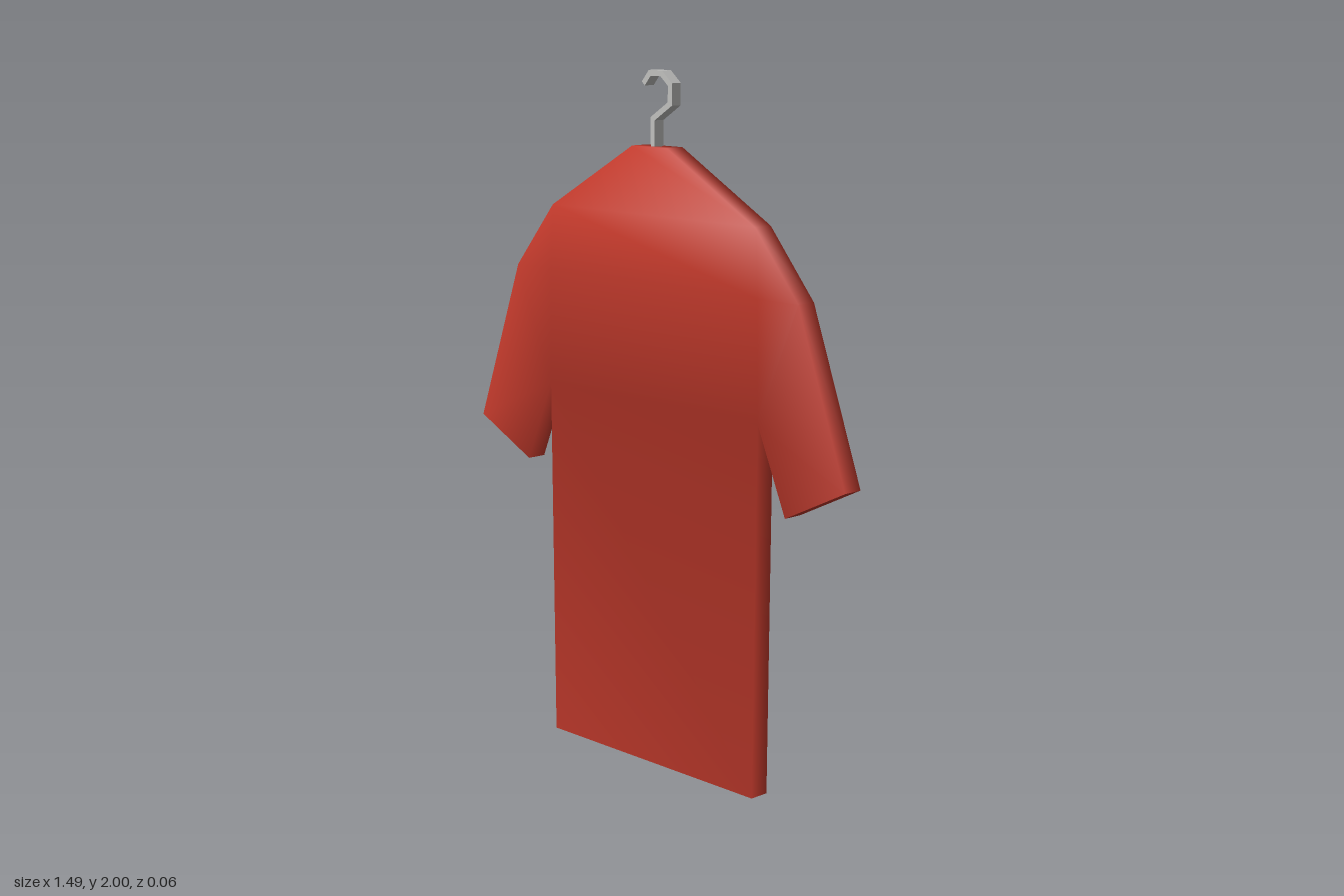
import * as THREE from 'three';

const HALF_DEPTH = 0.03;

// Right half of the shirt pattern, neck to hem; the last point lies inside the cloth
const HALF = [
  [0.07, 1.79], [0.41, 1.6], [0.57, 1.41], [0.745, 0.93],
  [0.53, 0.825], [0.425, 1.07], [0.415, 0], [0.42, 1.41],
];
const N = HALF.length;
const OUTLINE = [0, 1, 2, 3, 4, 5, 6, 14, 13, 12, 11, 10, 9, 8];
const SLEEVE_TRIS = [[1, 7, 2], [7, 5, 2], [5, 4, 3], [5, 3, 2]];
const TORSO_QUADS = [[8, 9, 1, 0], [9, 15, 7, 1], [15, 13, 5, 7], [13, 14, 6, 5]];
const HEMS = ['3-4', '6-14', '12-11']; // sleeve openings and bottom edge

function createShirtGeometry() {
  const pts = [...HALF, ...HALF.map(([x, y]) => [-x, y])].map(([x, y]) => new THREE.Vector2(x, y));
  const out = pts.map(() => new THREE.Vector2());
  const edges = OUTLINE.map((a, i) => {
    const b = OUTLINE[(i + 1) % OUTLINE.length];
    const d = pts[b].clone().sub(pts[a]).normalize();
    const n = new THREE.Vector2(-d.y, d.x);
    const hem = HEMS.includes(`${a}-${b}`);
    if (!hem) { out[a].add(n); out[b].add(n); }
    return { a, b, n, hem };
  });

  const position = [], normal = [], index = [];
  const addVertex = (p, z, n) => {
    position.push(p.x, p.y, z);
    normal.push(n.x, n.y, n.z);
    return position.length / 3 - 1;
  };
  // Front points, then back points, with normals rounded over the rim
  for (const side of [1, -1]) {
    pts.forEach((p, i) => {
      const o = out[i].clone();
      if (o.length() > 1) o.normalize();
      addVertex(p, side * HALF_DEPTH, new THREE.Vector3(o.x * 0.8, o.y * 0.8, side).normalize());
    });
  }
  const back = pts.length;

  // Cloth panels
  const tri = (a, b, c) => index.push(a, b, c, a + back, c + back, b + back);
  for (const [a, b, c] of SLEEVE_TRIS) {
    tri(a, b, c);
    tri(a + N, c + N, b + N);
  }
  for (const [a, b, c, d] of TORSO_QUADS) {
    tri(a, b, c);
    tri(a, c, d);
  }

  // Rim: smooth along the seams, flat at the hems
  for (const { a, b, n, hem } of edges) {
    let q = [a, b, b + back, a + back];
    if (hem) {
      const n3 = new THREE.Vector3(n.x, n.y, 0);
      q = [[a, 1], [b, 1], [b, -1], [a, -1]].map(([i, s]) => addVertex(pts[i], s * HALF_DEPTH, n3));
    }
    index.push(q[0], q[2], q[3], q[0], q[1], q[2]);
  }

  const g = new THREE.BufferGeometry();
  g.setAttribute('position', new THREE.Float32BufferAttribute(position, 3));
  g.setAttribute('normal', new THREE.Float32BufferAttribute(normal, 3));
  g.setIndex(index);
  return g;
}

// Flat bent strip following a centre line, with mitred corners
function createStripGeometry(path, width, depth) {
  const p = path.map(([x, y]) => new THREE.Vector2(x, y));
  const left = [], right = [];
  p.forEach((c, i) => {
    const d0 = c.clone().sub(p[Math.max(i - 1, 0)]).normalize();
    const d1 = p[Math.min(i + 1, p.length - 1)].clone().sub(c).normalize();
    const t = d0.clone().add(d1).normalize();
    const ref = i === 0 ? d1 : d0;
    const off = new THREE.Vector2(-t.y, t.x).multiplyScalar(width / 2 / t.dot(ref));
    left.push(c.clone().add(off));
    right.push(c.clone().sub(off));
  });
  const shape = new THREE.Shape([...right, ...left.reverse()]);
  const g = new THREE.ExtrudeGeometry(shape, { depth, bevelEnabled: false });
  g.translate(0, 0, -depth / 2);
  return g;
}

export function createModel() {
  const red = new THREE.MeshStandardMaterial({ color: 0xc0392b });
  red.name = 'red cloth';
  const grey = new THREE.MeshStandardMaterial({ color: 0xc0c0be });
  grey.name = 'grey metal';

  const model = new THREE.Group();
  model.name = 'shirtOnHanger';

  const shirt = new THREE.Mesh(createShirtGeometry(), red);
  shirt.name = 'shirt';

  const hookPath = [
    [0, 1.77], [0, 1.867], [0.068, 1.91], [0.068, 1.963],
    [0.034, 1.992], [-0.012, 1.992], [-0.038, 1.962],
  ];
  const hook = new THREE.Mesh(createStripGeometry(hookPath, 0.016, 0.034), grey);
  hook.name = 'hangerHook';

  model.add(shirt, hook);
  return model;
}
